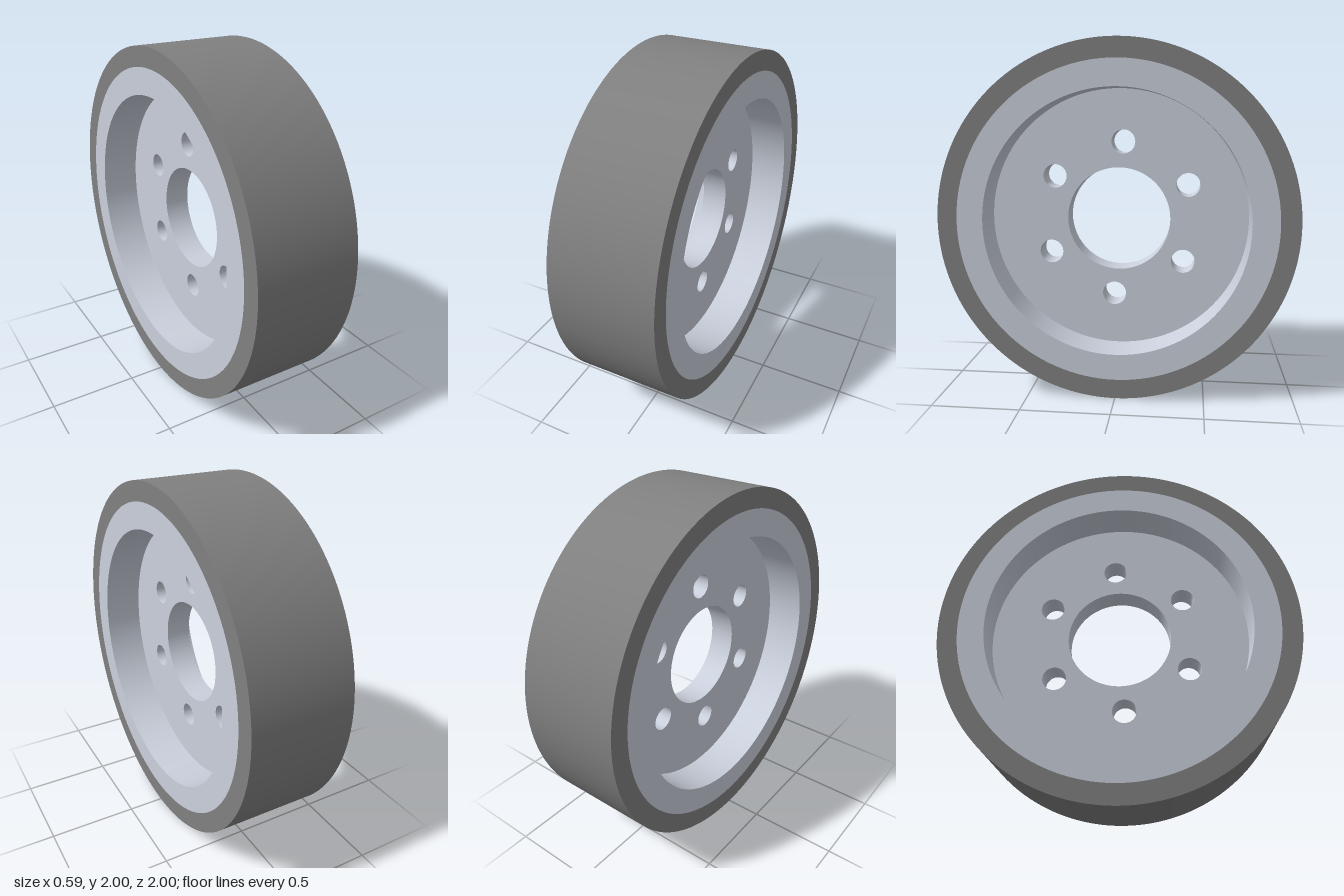
import * as THREE from 'three';
import { toCreasedNormals } from 'three/addons/utils/BufferGeometryUtils.js';

const tyreMaterial = new THREE.MeshStandardMaterial({ color: 0x808080 });
const hubMaterial = new THREE.MeshStandardMaterial({ color: 0xcad0dc });

// Round plate centred on the x axis, pierced by circular holes [x, y, radius]
function pierced(name, radius, width, holes, material) {
  const shape = new THREE.Shape().absarc(0, 0, radius, 0, Math.PI * 2);
  for (const [x, y, r] of holes) {
    shape.holes.push(new THREE.Path().absarc(x, y, r, 0, Math.PI * 2, true));
  }
  const extruded = new THREE.ExtrudeGeometry(shape, {
    depth: width, bevelEnabled: false, curveSegments: 128,
  });
  extruded.translate(0, 0, -width / 2).rotateY(Math.PI / 2);
  const mesh = new THREE.Mesh(toCreasedNormals(extruded, Math.PI / 6), material);
  mesh.name = name;
  return mesh;
}

export function createModel() {
  const wheel = new THREE.Group();
  wheel.name = 'wheel';

  const width = 0.59, webWidth = 0.148;
  const tyreRadius = 1, rimRadius = 0.89, recessRadius = 0.742;

  // Centre bore and six bolt holes, turned slightly off vertical
  const holes = [[0, 0, 0.297]];
  for (let i = 0; i < 6; i++) {
    const a = THREE.MathUtils.degToRad(3.3 + i * 60);
    holes.push([Math.sin(a) * 0.445, Math.cos(a) * 0.445, 0.068]);
  }

  wheel.add(
    pierced('tyre', tyreRadius, width, [[0, 0, rimRadius]], tyreMaterial),
    pierced('rim', rimRadius, width, [[0, 0, recessRadius]], hubMaterial),
    // Thin web, recessed equally on both sides
    pierced('hubWeb', recessRadius, webWidth, holes, hubMaterial),
  );
  wheel.position.y = tyreRadius;

  const model = new THREE.Group();
  model.add(wheel);
  return model;
}
